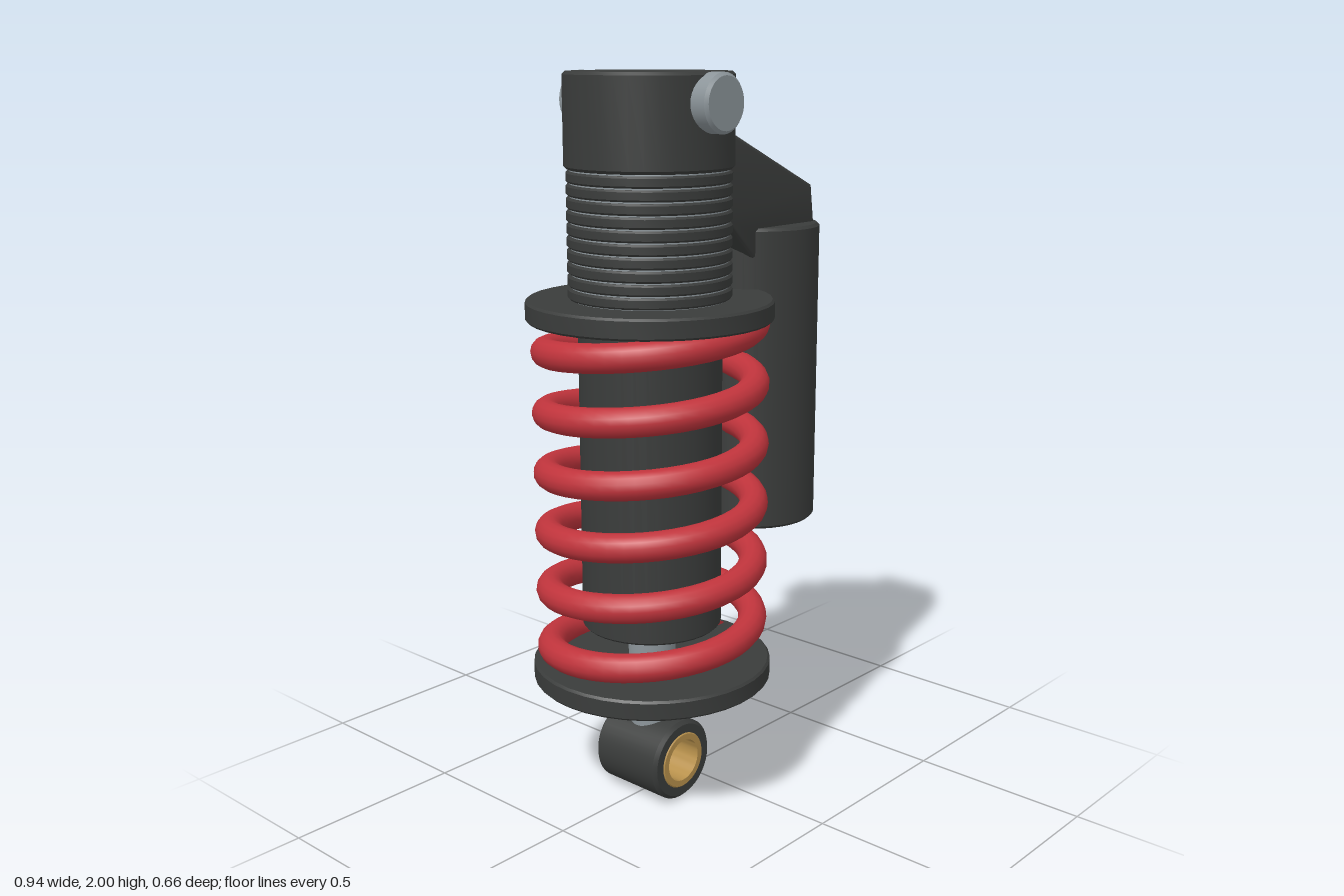
import * as THREE from 'three';
import { toCreasedNormals } from 'three/addons/utils/BufferGeometryUtils.js';

const AXIS = -0.143; // x of the damper's centre line
const mat = (color) => new THREE.MeshStandardMaterial({ color });
const dark = mat(0x3a3c3b), red = mat(0xc0343c), steel = mat(0x8c959a), bronze = mat(0xb8914c);

// Revolved solid from [radius, height] points, listed bottom to top
function lathe(points, segments = 36) {
  const g = new THREE.LatheGeometry(points.map(([r, y]) => new THREE.Vector2(r, y)), segments);
  return toCreasedNormals(g, 0.6);
}

// Closed cylinder between two heights with a small chamfer
function drum(r, y0, y1, b = 0.006) {
  return lathe([[0, y0], [r - b, y0], [r, y0 + b], [r, y1 - b], [r - b, y1], [0, y1]]);
}

// Open-ended ring between two heights
function ring(inner, outer, y0, y1, b = 0.006) {
  return lathe([[inner, y0], [outer - b, y0], [outer, y0 + b], [outer, y1 - b],
    [outer - b, y1], [inner, y1], [inner, y0]]);
}

// Coil path: starts at +x, runs round the back, then left and front, rising
class Coil extends THREE.Curve {
  getPoint(t, target = new THREE.Vector3()) {
    const a = t * 6 * Math.PI * 2;
    return target.set(0.28 * Math.cos(a), 0.385 + 0.996 * t, -0.28 * Math.sin(a));
  }
}

export function createModel() {
  const model = new THREE.Group();
  const add = (name, geometry, material, x = AXIS, y = 0, z = 0) => {
    const mesh = new THREE.Mesh(geometry, material);
    mesh.name = name;
    mesh.position.set(x, y, z);
    model.add(mesh);
    return mesh;
  };

  // Head and its cross pin
  add('head', drum(0.222, 1.755, 2, 0.008), dark);
  add('mountingPin', drum(0.075, -0.261, 0.261, 0.008), steel, AXIS, 1.925).rotation.x = Math.PI / 2;

  // Threaded collar: pale core showing between dark rings
  add('threadCore', drum(0.208, 1.4, 1.76), steel);
  const threads = new THREE.Group();
  threads.name = 'threads';
  const pitch = 0.0335;
  const threadGeometry = ring(0.2, 0.217, 0, pitch - 0.004, 0.005);
  for (let i = 0; i < 10; i++) {
    const thread = new THREE.Mesh(threadGeometry, dark);
    thread.name = 'thread';
    thread.position.set(AXIS, 1.42 + i * pitch, 0);
    threads.add(thread);
  }
  model.add(threads);

  // Damper body, rod and spring seats
  add('damperBody', drum(0.192, 0.51, 1.41), dark);
  add('damperRod', drum(0.066, 0.2, 0.54), steel);
  add('upperSpringSeat', drum(0.33, 1.362, 1.418), dark);
  add('lowerSpringSeat', drum(0.33, 0.355, 0.411), dark);

  // Spring with capped ends
  const coil = new Coil();
  add('spring', new THREE.TubeGeometry(coil, 260, 0.039, 14), red);
  for (const t of [0, 1]) {
    const p = coil.getPoint(t);
    const cap = add('springEnd', new THREE.CircleGeometry(0.039, 14), red, AXIS + p.x, p.y, p.z);
    const dir = coil.getTangent(t).multiplyScalar(t ? 1 : -1);
    cap.quaternion.setFromUnitVectors(new THREE.Vector3(0, 0, 1), dir);
  }

  // Adjuster knob beside the rod
  add('adjusterKnob', drum(0.066, -0.042, 0.042), red, 0, 0.296).rotation.z = Math.PI / 2;

  // Lower eye with its bushing
  add('lowerEye', ring(0.076, 0.115, -0.115, 0.115, 0.01), dark, AXIS, 0.12).rotation.x = Math.PI / 2;
  add('bushing', ring(0.06, 0.08, -0.118, 0.118, 0.003), bronze, AXIS, 0.12).rotation.x = Math.PI / 2;

  // Reservoir
  add('reservoir', drum(0.184, 0.73, 1.583, 0.008), dark, 0.287);

  // Bridge from the head to the reservoir
  const b = 0.012;
  const outline = [[-0.05, 1.62], [0.04, 1.615], [0.145, 1.515], [0.17, 1.56],
    [0.402, 1.56], [0.385, 1.678], [0.04, 1.835], [-0.05, 1.835]];
  const shape = new THREE.Shape(outline.map(([x, y]) => new THREE.Vector2(x, y)));
  const bridge = new THREE.ExtrudeGeometry(shape, {
    depth: 0.24 - 2 * b, bevelEnabled: true, bevelThickness: b, bevelSize: b, bevelSegments: 3,
  });
  add('reservoirBridge', toCreasedNormals(bridge, 0.6), dark, 0, 0, -0.12 + b);

  return model;
}
